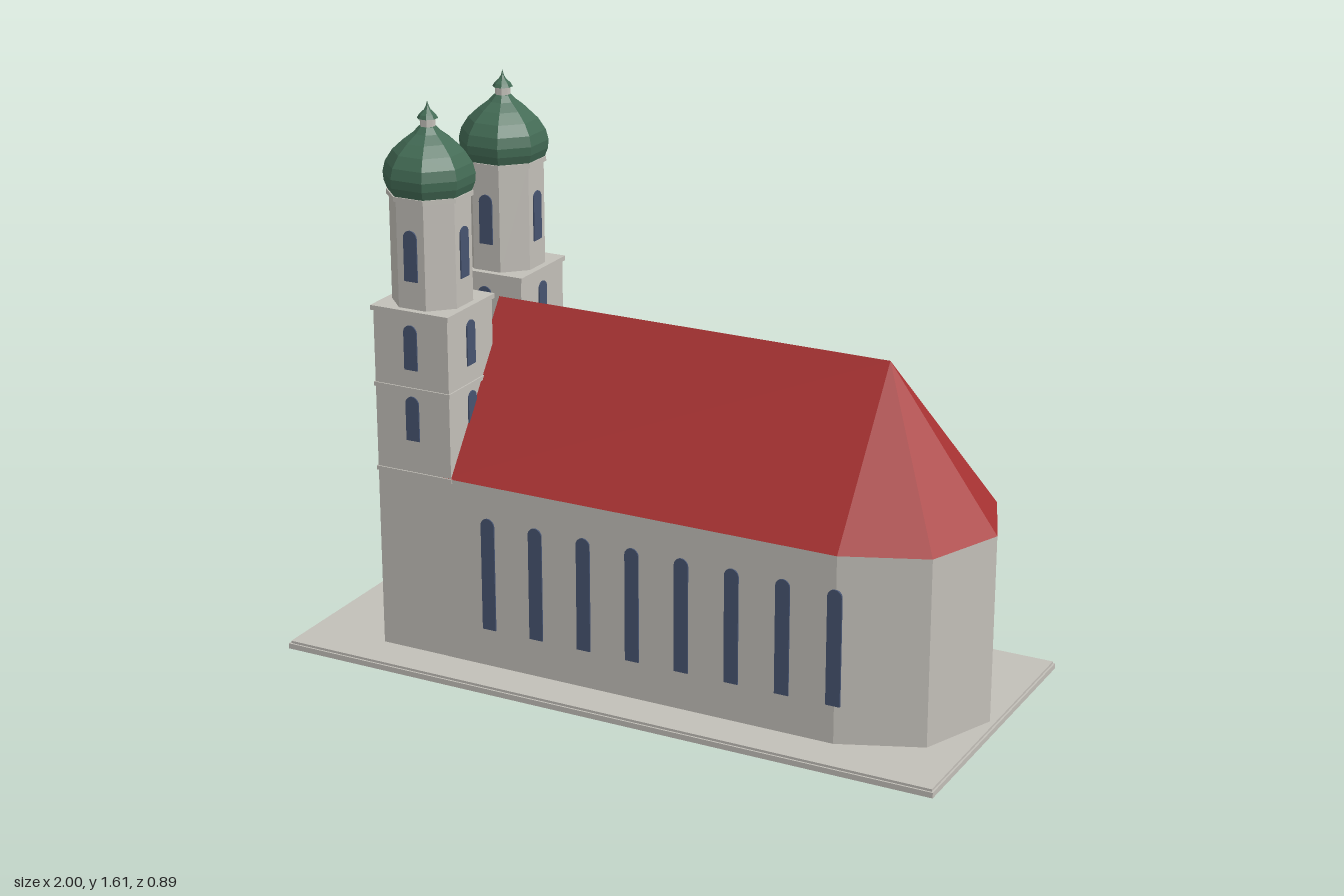
import * as THREE from 'three';

const mat = (name, color) => Object.assign(new THREE.MeshStandardMaterial({ color }), { name });

// Separate the faces so that every facet is shaded flat
function flat(geometry) {
  const g = geometry.index ? geometry.toNonIndexed() : geometry;
  g.computeVertexNormals();
  return g;
}

// Round-headed opening as a thin plate facing +z, standing on y = 0
function archPlate(width, height) {
  const r = width / 2;
  const s = new THREE.Shape();
  s.moveTo(-r, 0);
  s.lineTo(r, 0);
  s.lineTo(r, height - r);
  s.absarc(0, height - r, r, 0, Math.PI, false);
  s.closePath();
  return new THREE.ExtrudeGeometry(s, { depth: 0.006, bevelEnabled: false, curveSegments: 8 });
}

export function createModel() {
  const stone = mat('stone', 0xc2bfb8);
  const tile = mat('roofTile', 0xa83232);
  const copper = mat('greenCopper', 0x436b55);
  const glass = mat('darkGlass', 0x465370);
  const model = new THREE.Group();
  model.name = 'church';

  const add = (parent, name, geometry, material, x = 0, y = 0, z = 0, turn = 0) => {
    const m = new THREE.Mesh(geometry, material);
    m.name = name;
    m.position.set(x, y, z);
    m.rotation.y = turn;
    parent.add(m);
    return m;
  };
  const box = (parent, name, w, y0, y1, d, x = 0, z = 0) =>
    add(parent, name, new THREE.BoxGeometry(w, y1 - y0, d), stone, x, (y0 + y1) / 2, z);

  // Ground slab
  box(model, 'baseSlab', 2, 0, 0.016, 0.89);
  box(model, 'baseSlabTop', 1.99, 0.016, 0.023, 0.88);

  // Nave walls with a polygonal apse at +x
  const west = -0.54, eave = 0.565, ridge = 1.005;
  const plan = [[west, 0.32], [0.66, 0.32], [0.89, 0.225], [0.98, 0],
    [0.89, -0.225], [0.66, -0.32], [west, -0.32]];
  const outline = new THREE.Shape(plan.map(([x, z]) => new THREE.Vector2(x, -z)));
  const walls = new THREE.ExtrudeGeometry(outline, { depth: eave - 0.02, bevelEnabled: false });
  walls.rotateX(-Math.PI / 2);
  add(model, 'naveWalls', walls, stone, 0, 0.02, 0);

  // Roof: two slopes and a hipped end over the apse
  const e = plan.map(([x, z]) => [x, eave, z]);
  const peak = [0.66, ridge, 0], gableTop = [west, ridge, 0];
  const tris = [];
  for (let i = 0; i < e.length - 1; i++) {
    if (i < 5) tris.push(e[i], e[i + 1], peak);
  }
  tris.push(e[0], peak, gableTop, e[5], e[6], gableTop, e[5], gableTop, peak);
  const surface = (points) => {
    const g = new THREE.BufferGeometry();
    g.setAttribute('position', new THREE.Float32BufferAttribute(points.flat(), 3));
    return flat(g);
  };
  add(model, 'naveRoof', surface(tris), tile);
  add(model, 'westGable', surface([e[6], e[0], gableTop]), stone);

  // Tall nave windows on both sides
  const naveWindow = archPlate(0.042, 0.335);
  for (const side of [1, -1]) {
    for (let i = 0; i < 8; i++) {
      add(model, 'naveWindow', naveWindow, glass, -0.4 + i * 0.151, 0.135,
        side * 0.318, side > 0 ? 0 : Math.PI);
    }
  }

  // Entrance block between the towers
  box(model, 'entranceBlock', 0.19, 0.02, 0.67, 0.18, -0.61, 0);
  add(model, 'entranceDoor', archPlate(0.064, 0.18), glass, -0.703, 0.022, 0, -Math.PI / 2);
  add(model, 'entranceWindow', archPlate(0.064, 0.15), glass, -0.703, 0.35, 0, -Math.PI / 2);

  // Twin towers
  const towerWindow = archPlate(0.042, 0.13);
  const drumWindow = archPlate(0.042, 0.145);
  const octagon = (apothem, height) => {
    const r = apothem / Math.cos(Math.PI / 8);
    return flat(new THREE.CylinderGeometry(r, r, height, 8).rotateY(Math.PI / 8));
  };
  const turned = (profile) => flat(new THREE.LatheGeometry(
    profile.map(([a, y]) => new THREE.Vector2(a / Math.cos(Math.PI / 8), y)), 8).rotateY(Math.PI / 8));
  const dome = turned([[0, 1.355], [0.108, 1.355], [0.117, 1.38], [0.119, 1.405], [0.112, 1.435],
    [0.093, 1.467], [0.065, 1.495], [0.038, 1.517], [0.022, 1.535], [0, 1.535]]);
  const cap = turned([[0, 1.557], [0.027, 1.557], [0.022, 1.567], [0.009, 1.58], [0.004, 1.59], [0, 1.605]]);

  for (const side of [1, -1]) {
    const tower = new THREE.Group();
    tower.name = side > 0 ? 'leftTower' : 'rightTower';
    tower.position.set(-0.635, 0, side * 0.2);
    model.add(tower);

    box(tower, 'towerShaft', 0.238, 0.02, 1.03, 0.238);
    for (const y of [0.56, 0.81]) box(tower, 'stringCourse', 0.246, y - 0.006, y + 0.006, 0.246);
    box(tower, 'towerCornice', 0.25, 1.026, 1.04, 0.25);
    add(tower, 'drum', octagon(0.105, 0.31), stone, 0, 1.19, 0);
    add(tower, 'drumCornice', octagon(0.112, 0.014), stone, 0, 1.349, 0);
    add(tower, 'onionDome', dome, copper);
    add(tower, 'lantern', octagon(0.02, 0.035), stone, 0, 1.543, 0);
    add(tower, 'lanternCap', cap, copper);

    // Windows on all four sides
    for (let i = 0; i < 4; i++) {
      const a = i * Math.PI / 2, sx = Math.sin(a), sz = Math.cos(a);
      for (const y of [0.66, 0.868]) {
        add(tower, 'towerWindow', towerWindow, glass, sx * 0.117, y, sz * 0.117, a);
      }
      add(tower, 'drumWindow', drumWindow, glass, sx * 0.103, 1.12, sz * 0.103, a);
    }
  }
  return model;
}
